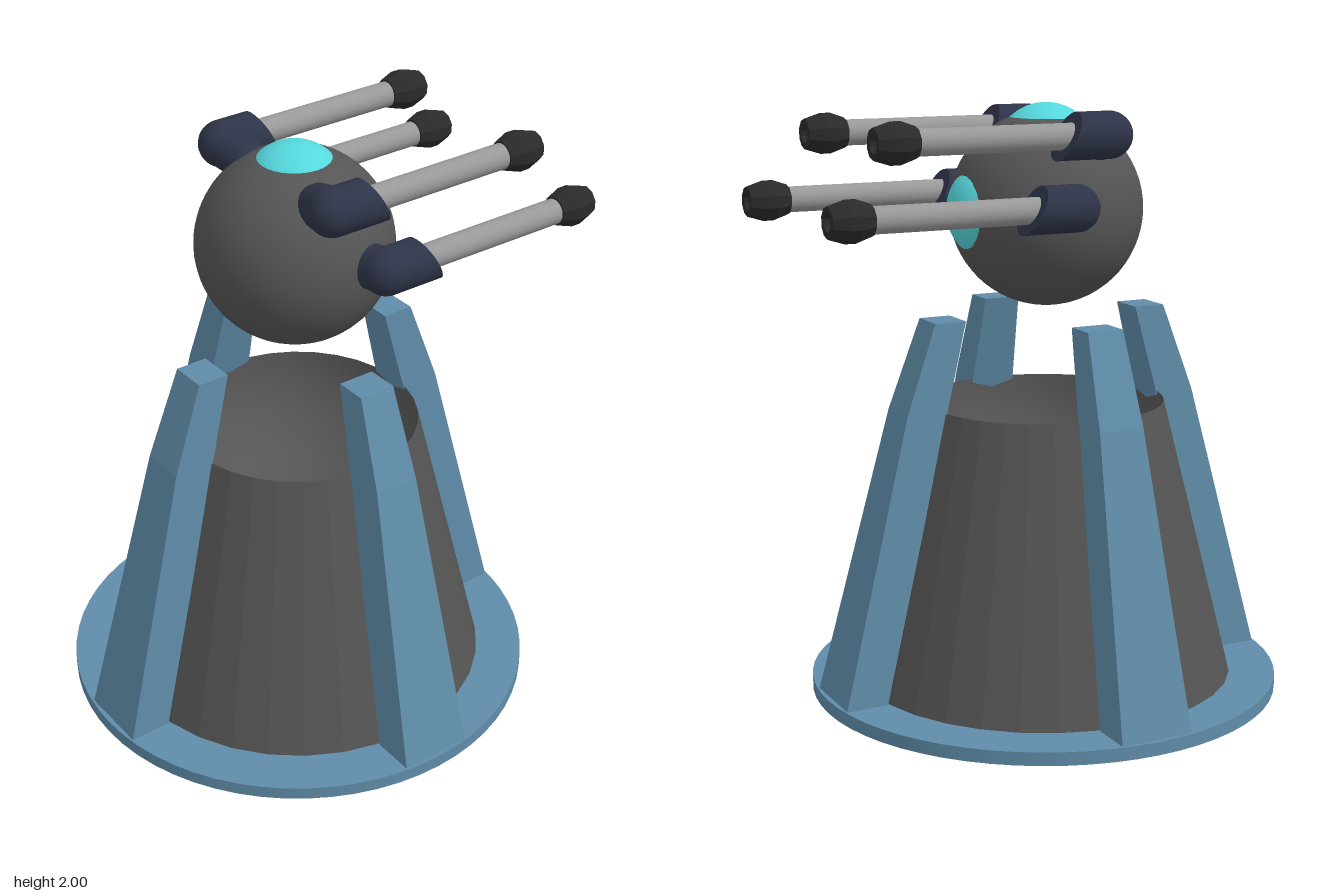
import * as THREE from 'three';

const mat = (color, flatShading = false, side = THREE.FrontSide) =>
  new THREE.MeshStandardMaterial({ color, flatShading, side });
const BLUE = mat(0x5f8ca8, true), BLUE_SMOOTH = mat(0x5f8ca8);
const GREY = mat(0x555555), WALL = mat(0x555555, true, THREE.DoubleSide);
const CYAN = mat(0x55d8dd), NAVY = mat(0x2e3448);
const STEEL = mat(0x999999), BLACK = mat(0x2a2a2a, true, THREE.DoubleSide);

function add(parent, name, geometry, material, x = 0, y = 0, z = 0) {
  const mesh = new THREE.Mesh(geometry, material);
  mesh.name = name;
  mesh.position.set(x, y, z);
  parent.add(mesh);
  return mesh;
}

const lathe = (points, segments) =>
  new THREE.LatheGeometry(points.map(([r, y]) => new THREE.Vector2(r, y)), segments);

// Buttress: side profile extruded, then narrowed towards the top
function legGeometry() {
  const profile = [[0.645, 0.04], [0.79, 0.04], [0.54, 1], [0.43, 1.3], [0.32, 1.3]];
  const shape = new THREE.Shape(profile.map(([x, y]) => new THREE.Vector2(x, y)));
  const geo = new THREE.ExtrudeGeometry(shape, { depth: 2, bevelEnabled: false });
  geo.translate(0, 0, -1);
  const p = geo.attributes.position;
  for (let i = 0; i < p.count; i++) {
    const t = (p.getY(i) - 0.04) / 1.26;
    p.setZ(i, p.getZ(i) * THREE.MathUtils.lerp(0.127, 0.064, t));
  }
  geo.computeVertexNormals();
  return geo;
}

// Sleeve along z with a slanted front end
function sleeveGeometry(radius, length) {
  const geo = new THREE.CylinderGeometry(radius, radius, length, 24);
  geo.translate(0, length / 2, 0).rotateX(-Math.PI / 2);
  const p = geo.attributes.position;
  for (let i = 0; i < p.count; i++)
    if (p.getZ(i) < -length / 2) p.setZ(i, p.getZ(i) + p.getY(i) * 0.5);
  geo.computeVertexNormals();
  return geo;
}

// Gun: root on the ball, elbow, sleeve, barrel and muzzle pointing to -z
function makeGun(name, elbow, root, tipZ) {
  const gun = new THREE.Group();
  gun.name = name;
  const r = 0.077, [x, y, z] = elbow;
  const a = new THREE.Vector3(...elbow), b = new THREE.Vector3(...root);
  const arm = add(gun, 'arm', new THREE.CapsuleGeometry(r * 0.95, a.distanceTo(b), 8, 24), NAVY);
  arm.position.copy(a).lerp(b, 0.5);
  arm.quaternion.setFromUnitVectors(new THREE.Vector3(0, 1, 0), b.clone().sub(a).normalize());
  add(gun, 'elbow', new THREE.SphereGeometry(r, 24, 16), NAVY, x, y, z);
  add(gun, 'sleeve', sleeveGeometry(r, 0.155), NAVY, x, y, z);

  const length = z - tipZ - 0.1;
  add(gun, 'barrel', new THREE.CylinderGeometry(0.043, 0.043, length, 20), STEEL,
    x, y, z - length / 2).rotation.x = -Math.PI / 2;
  add(gun, 'muzzle', lathe([[0.043, 0], [0.05, 0], [0.067, 0.05], [0.067, 0.085],
    [0.05, 0.14], [0.03, 0.14], [0.026, 0.1], [0, 0.1]], 10), BLACK,
    x, y, tipZ + 0.14).rotation.x = -Math.PI / 2;
  return gun;
}

export function createModel() {
  const model = new THREE.Group();
  model.name = 'turret';

  // Base and tapered tower with a hollow top
  const tower = new THREE.Group();
  tower.name = 'tower';
  tower.position.z = 0.053;
  model.add(tower);
  add(tower, 'basePlate', new THREE.CylinderGeometry(0.806, 0.806, 0.045, 64), BLUE_SMOOTH, 0, 0.0225, 0);
  add(tower, 'towerWall', lathe([[0.65, 0.04], [0.41, 1]], 32), WALL);
  const bowl = [];
  for (let i = 0; i <= 10; i++) {
    const t = (i / 10) * Math.PI / 2;
    bowl.push([0.41 * Math.sin(t), 1 - 0.38 * Math.cos(t)]);
  }
  add(tower, 'towerBowl', lathe(bowl, 32), mat(0x555555, false, THREE.DoubleSide));

  // Four buttress legs
  const leg = legGeometry();
  for (let i = 0; i < 4; i++) add(tower, 'leg', leg, BLUE).rotation.y = i * Math.PI / 2;

  // Floating ball with a lens on top and one at the back
  const head = new THREE.Group();
  head.name = 'head';
  model.add(head);
  add(head, 'ball', new THREE.SphereGeometry(0.325, 48, 32), GREY, 0, 1.65, 0.06);
  const lens = new THREE.SphereGeometry(0.174, 32, 10, 0, Math.PI * 2, 0, 0.9);
  add(head, 'topLens', lens, CYAN, 0, 1.826, 0.06);
  add(head, 'backLens', lens, CYAN, 0, 1.65, -0.116).rotation.x = -Math.PI / 2;

  // Two guns on each side
  for (const s of [1, -1]) {
    const side = s > 0 ? 'left' : 'right', dy = -0.005 * s;
    head.add(makeGun(side + 'UpperGun', [0.295 * s, 1.905 + dy, 0.135], [0.2 * s, 1.88 + dy, 0.11], -0.68));
    head.add(makeGun(side + 'LowerGun', [0.367 * s, 1.685 + dy, -0.022], [0.26 * s, 1.675 + dy, -0.01], -0.86));
  }
  return model;
}
